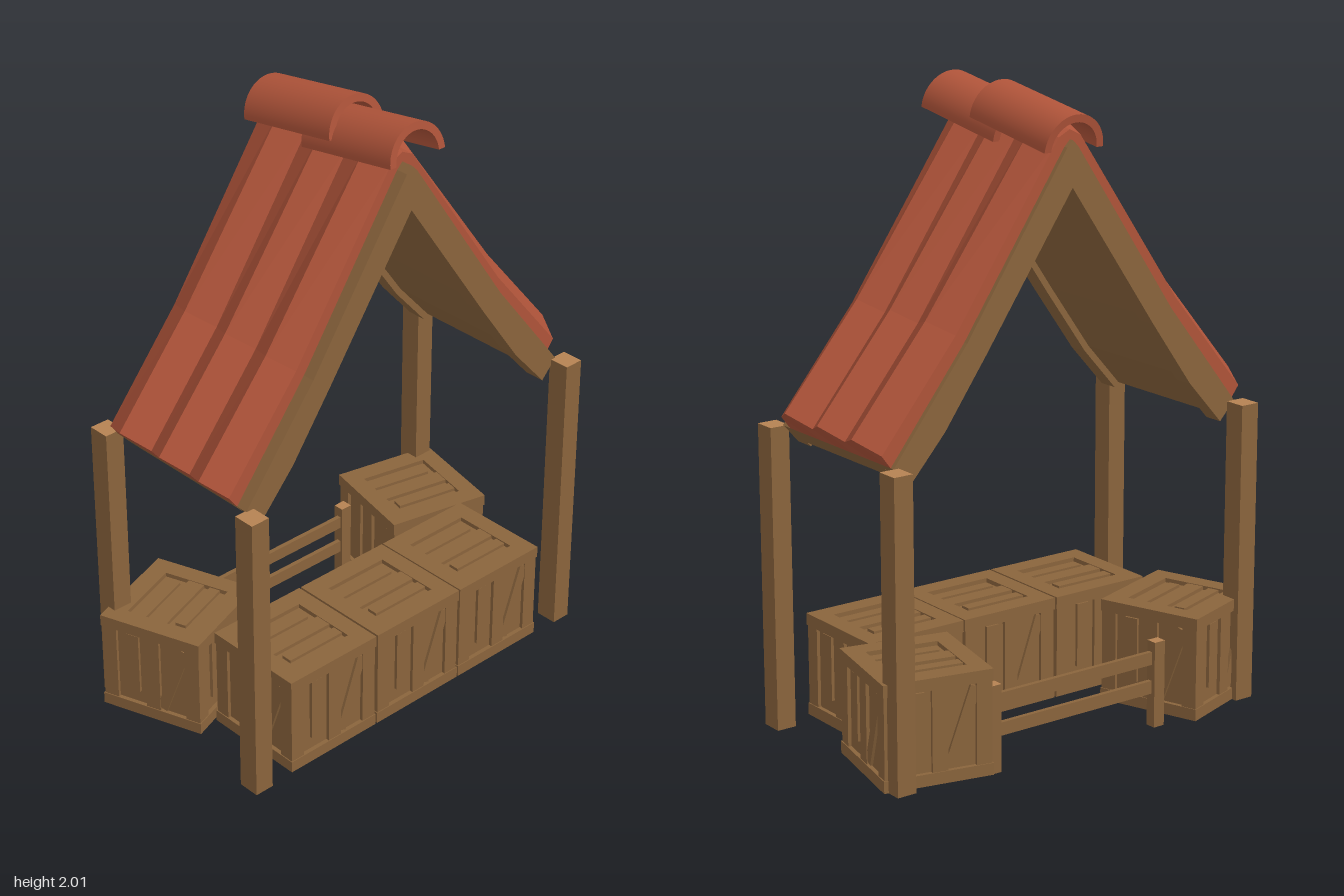
import * as THREE from 'three';
import { toCreasedNormals } from 'three/addons/utils/BufferGeometryUtils.js';

const make = (name, color) => {
  const m = new THREE.MeshStandardMaterial({ color });
  m.name = name;
  return m;
};

export function createModel() {
  const wood = make('wood', 0x8a643c);
  const endGrain = make('end grain', 0xb58252);
  const clay = make('clay tile', 0xae5339);
  const model = new THREE.Group();
  model.name = 'marketStall';

  const add = (parent, name, geometry, material, x = 0, y = 0, z = 0) => {
    const mesh = new THREE.Mesh(geometry, material);
    mesh.name = name;
    mesh.position.set(x, y, z);
    parent.add(mesh);
    return mesh;
  };
  const box = (parent, name, w, h, d, x, y, z, mat = wood) =>
    add(parent, name, new THREE.BoxGeometry(w, h, d), mat, x, y, z);
  const topped = [wood, wood, endGrain, wood, wood, wood];

  // Four corner posts, with pale sawn tops
  for (const x of [-0.64, 0.66]) {
    for (const z of [0.355, -0.3]) box(model, 'cornerPost', 0.065, 0.97, 0.072, x, 0.505, z, topped);
  }

  // Wooden crates: recessed body with rails, stiles, planks and a brace on each side
  const S = 0.35, H = 0.335, T = 0.014;
  function crate(x, z, turn) {
    const g = new THREE.Group();
    g.name = 'crate';
    g.position.set(x, 0.02 + H / 2, z);
    g.rotation.y = turn;
    model.add(g);
    box(g, 'crateBody', S - 2 * T, H - 2 * T, S - 2 * T, 0, 0, 0);
    for (let i = 0; i < 4; i++) {
      const side = new THREE.Group();
      side.name = 'crateSide';
      side.rotation.y = i * Math.PI / 2;
      g.add(side);
      const zo = S / 2 - T / 2;
      for (const s of [-1, 1]) {
        box(side, 'rail', S, 0.038, T, 0, s * (H / 2 - 0.019), zo);
        box(side, 'stile', 0.05, H - 0.076, T - 0.003, s * (S / 2 - 0.028), 0, zo - 0.0015);
      }
      box(side, 'middleStile', 0.05, H - 0.076, T - 0.003, 0.005, 0, zo - 0.0015);
      box(side, 'plank', 0.045, 0.21, T - 0.004, -0.066, 0.02, zo - 0.002);
      const brace = box(side, 'brace', 0.035, 0.255, T - 0.005, 0.078, 0, zo - 0.0025);
      brace.rotation.z = -0.34;
    }
    for (const s of [-1, 1]) {
      const y = s * (H / 2 - T / 2);
      for (const e of [-1, 1]) {
        box(g, 'lidRail', 0.045, T, S - 2 * T, e * (S / 2 - T - 0.0225), y, 0);
        box(g, 'lidEdge', S - 2 * T - 0.09, T, 0.05, 0, y, e * (S / 2 - T - 0.025));
        box(g, 'lidSlat', S - 2 * T - 0.11, T - 0.004, 0.036, 0.01 * e, y - s * 0.002, e * 0.066);
      }
      box(g, 'lidMiddle', S - 2 * T - 0.09, T - 0.002, 0.055, 0, y - s * 0.001, 0);
    }
  }
  for (const x of [-0.347, 0.01, 0.365]) crate(x, 0.208, 0);
  crate(-0.497, -0.17, 0.34);
  crate(0.498, -0.152, -0.215);

  // Low fence between the two rear crates
  for (const x of [-0.305, 0.325]) box(model, 'fencePost', 0.04, 0.28, 0.036, x, 0.14, -0.3, topped);
  for (const y of [0.13, 0.225]) box(model, 'fenceRail', 0.63, 0.042, 0.015, 0.01, y, -0.297);

  // Roof group, slightly off centre like the posts
  const roof = new THREE.Group();
  roof.name = 'roof';
  roof.position.x = 0.005;
  model.add(roof);

  const base = [[0.64, 0.99], [0.38, 1.32], [0.02, 1.85], [0, 1.87]];
  const beamUnder = [[0.585, 0.93], [0.46, 1.07], [0.31, 1.28], [0, 1.73]];
  const panelUnder = [[0.6, 0.945], [0.475, 1.085], [0.325, 1.295], [0, 1.765]];
  const mirror = (pts) => [...pts.map(([x, y]) => [-x, y]), ...pts.slice(0, -1).reverse()];

  // Bent chevrons: front and rear gable beams, and the boarding between them
  function chevron(name, under, z0, z1) {
    const outline = [...mirror(base), ...mirror(under).reverse()];
    const shape = new THREE.Shape(outline.map(([x, y]) => new THREE.Vector2(x, y)));
    add(roof, name, new THREE.ExtrudeGeometry(shape, { depth: z1 - z0, bevelEnabled: false }), wood, 0, 0, z0);
  }
  chevron('frontGableBeam', beamUnder, 0.257, 0.325);
  chevron('rearGableBeam', beamUnder, -0.265, -0.2);
  chevron('roofBoarding', panelUnder, -0.2, 0.257);

  // Corrugated tiles: ridge and valley sections alternate along z, closed below
  const ridge = mirror([[0.71, 1.065], [0.45, 1.375], [0.065, 1.905], [0, 1.915]]);
  const valley = mirror([[0.67, 1.03], [0.41, 1.345], [0.04, 1.88], [0, 1.9]]);
  const bottom = mirror(base);
  const zs = [-0.25, -0.155, -0.06, 0.025, 0.112, 0.2, 0.285];
  const top = (i, j) => [...(j % 2 ? ridge : valley)[i], zs[j]];
  const low = (i, j) => [...bottom[i], zs[j]];
  const pos = [];
  const quad = (a, b, c, d) => pos.push(...a, ...b, ...c, ...a, ...c, ...d);
  const n = bottom.length - 1, m = zs.length - 1;
  for (let i = 0; i < n; i++) {
    for (let j = 0; j < m; j++) {
      quad(top(i, j), top(i, j + 1), top(i + 1, j + 1), top(i + 1, j));
      quad(low(i, j), low(i + 1, j), low(i + 1, j + 1), low(i, j + 1));
    }
    quad(low(i, m), low(i + 1, m), top(i + 1, m), top(i, m));
    quad(low(i, 0), top(i, 0), top(i + 1, 0), low(i + 1, 0));
  }
  for (let j = 0; j < m; j++) {
    quad(low(n, j), top(n, j), top(n, j + 1), low(n, j + 1));
    quad(low(0, j), low(0, j + 1), top(0, j + 1), top(0, j));
  }
  const tiles = new THREE.BufferGeometry();
  tiles.setAttribute('position', new THREE.Float32BufferAttribute(pos, 3));
  tiles.computeVertexNormals();
  add(roof, 'roofTiles', tiles, clay);

  // Two overlapping half-round ridge caps, tilted down to the rear
  const arch = new THREE.Shape();
  arch.absarc(0, 0, 0.107, 0, Math.PI, false);
  arch.absarc(0, 0, 0.083, Math.PI, 0, true);
  const capGeo = toCreasedNormals(
    new THREE.ExtrudeGeometry(arch, { depth: 0.372, bevelEnabled: false, curveSegments: 14 }), 0.6);
  for (const z of [-0.02, -0.27]) {
    add(roof, 'ridgeCap', capGeo, clay, 0, 1.842, z).rotation.x = -0.16;
  }
  return model;
}
